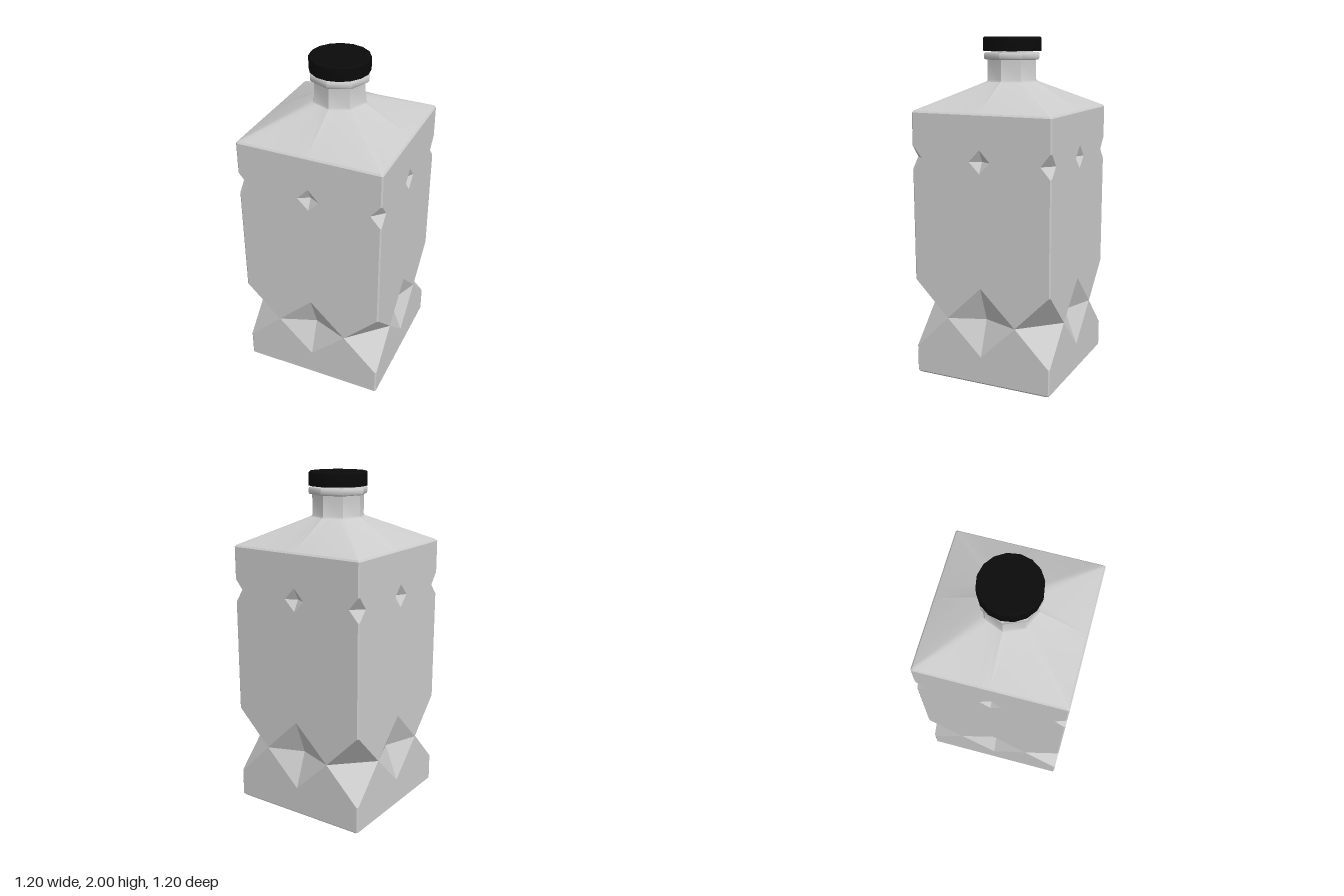
import * as THREE from 'three';
import { toCreasedNormals } from 'three/addons/utils/BufferGeometryUtils.js';

const HALF = 0.432; // half the width of the square body
const EDGE = 0.008; // small chamfer on the upright edges
const NECK = 0.158; // radius of the octagonal neck base

// One side of a square ring as [along, depth] pairs: chamfer, corner-facet end,
// mid-facet end, middle, then mirrored.
function squareSide({ inset = 0, a, b, dent = 0 }) {
  const h = HALF - inset;
  const corner = dent ? [h - a / 2 - EDGE / 2, a / 2 - EDGE / 2] : [h - EDGE, 0];
  const half = [corner, [h - a, 0], [b, 0]];
  return [...half.map(([s, d]) => [-s, h - d]), [0, h - dent], ...half.reverse().map(([s, d]) => [s, h - d])];
}

// One side of the octagonal ring where the shoulder meets the neck
function octagonSide() {
  const q = NECK * Math.SQRT1_2;
  return [-1, -0.75, -0.4, 0, 0.4, 0.75, 1].map((t) => {
    const f = Math.abs(t);
    return [t * q, NECK + (q - NECK) * f];
  });
}

function ringPoints(ring) {
  const side = ring.octagon ? octagonSide() : squareSide(ring);
  const points = [];
  for (let k = 0; k < 4; k++) {
    const c = Math.cos((k * Math.PI) / 2), n = Math.sin((k * Math.PI) / 2);
    for (const [s, d] of side) points.push(new THREE.Vector3(s * c + d * n, ring.y, -s * n + d * c));
  }
  return points;
}

function bodyGeometry() {
  const big = { a: HALF / 2, b: HALF / 2 };
  const small = { a: 0.065, b: 0.065 };
  const rings = [
    { y: 0, inset: 0.012, ...big },
    { y: 0.012, ...big },
    { y: 0.17, ...big },
    { y: 0.38, ...big, dent: 0.08 },
    { y: 0.59, ...big },
    { y: 1.255, ...small },
    { y: 1.32, ...small, dent: 0.037 },
    { y: 1.39, ...small },
    { y: 1.58, ...small },
    { y: 1.59, inset: 0.008, ...small },
    { y: 1.745, octagon: true },
  ];
  const loops = rings.map(ringPoints);
  const count = loops[0].length;
  const positions = [];
  const triangle = (p, q, r) => {
    const area = q.clone().sub(p).cross(r.clone().sub(p)).length();
    if (area > 1e-9) for (const v of [p, q, r]) positions.push(v.x, v.y, v.z);
  };

  // Diagonals follow the diamond facets around each dented ring
  for (let i = 0; i < loops.length - 1; i++) {
    const low = loops[i], high = loops[i + 1];
    for (let j = 0; j < count; j++) {
      const n = (j + 1) % count;
      const forward = ((j % 7) % 3 === 0) === !rings[i].dent;
      if (forward) {
        triangle(low[j], low[n], high[n]);
        triangle(low[j], high[n], high[j]);
      } else {
        triangle(low[j], low[n], high[j]);
        triangle(low[n], high[n], high[j]);
      }
    }
  }

  // Slightly raised underside
  const centre = new THREE.Vector3(0, 0.015, 0);
  for (let j = 0; j < count; j++) triangle(centre, loops[0][(j + 1) % count], loops[0][j]);

  const geometry = new THREE.BufferGeometry();
  geometry.setAttribute('position', new THREE.Float32BufferAttribute(positions, 3));
  return toCreasedNormals(geometry, 0.3);
}

function lathe(profile, sides, start, crease) {
  const points = profile.map(([r, y]) => new THREE.Vector2(r, y));
  return toCreasedNormals(new THREE.LatheGeometry(points, sides, start), crease);
}

export function createModel() {
  const model = new THREE.Group();
  model.name = 'bottle';
  const grey = new THREE.MeshStandardMaterial({ color: 0xcccccc, side: THREE.DoubleSide });
  const black = new THREE.MeshStandardMaterial({ color: 0x0b0b0b, side: THREE.DoubleSide });
  const add = (parent, name, geometry, material) => {
    const mesh = new THREE.Mesh(geometry, material);
    mesh.name = name;
    parent.add(mesh);
  };

  // Square body and octagonal neck, turned together
  const vessel = new THREE.Group();
  vessel.name = 'vessel';
  vessel.rotation.y = THREE.MathUtils.degToRad(35.5);
  model.add(vessel);
  add(vessel, 'body', bodyGeometry(), grey);
  const neck = [
    [NECK, 1.745], [0.152, 1.755], [0.152, 1.87], [0.168, 1.873], [0.173, 1.88],
    [0.173, 1.903], [0.168, 1.911], [0.13, 1.913], [0.13, 1.93],
  ];
  add(vessel, 'neck', lathe(neck, 8, 0, 0.6), grey);

  // Screw cap
  const cap = [[0, 1.92], [0.171, 1.92], [0.172, 1.924], [0.172, 1.994], [0.166, 2], [0, 2]];
  add(model, 'cap', lathe(cap, 16, Math.PI / 16, 0.5), black);
  return model;
}
